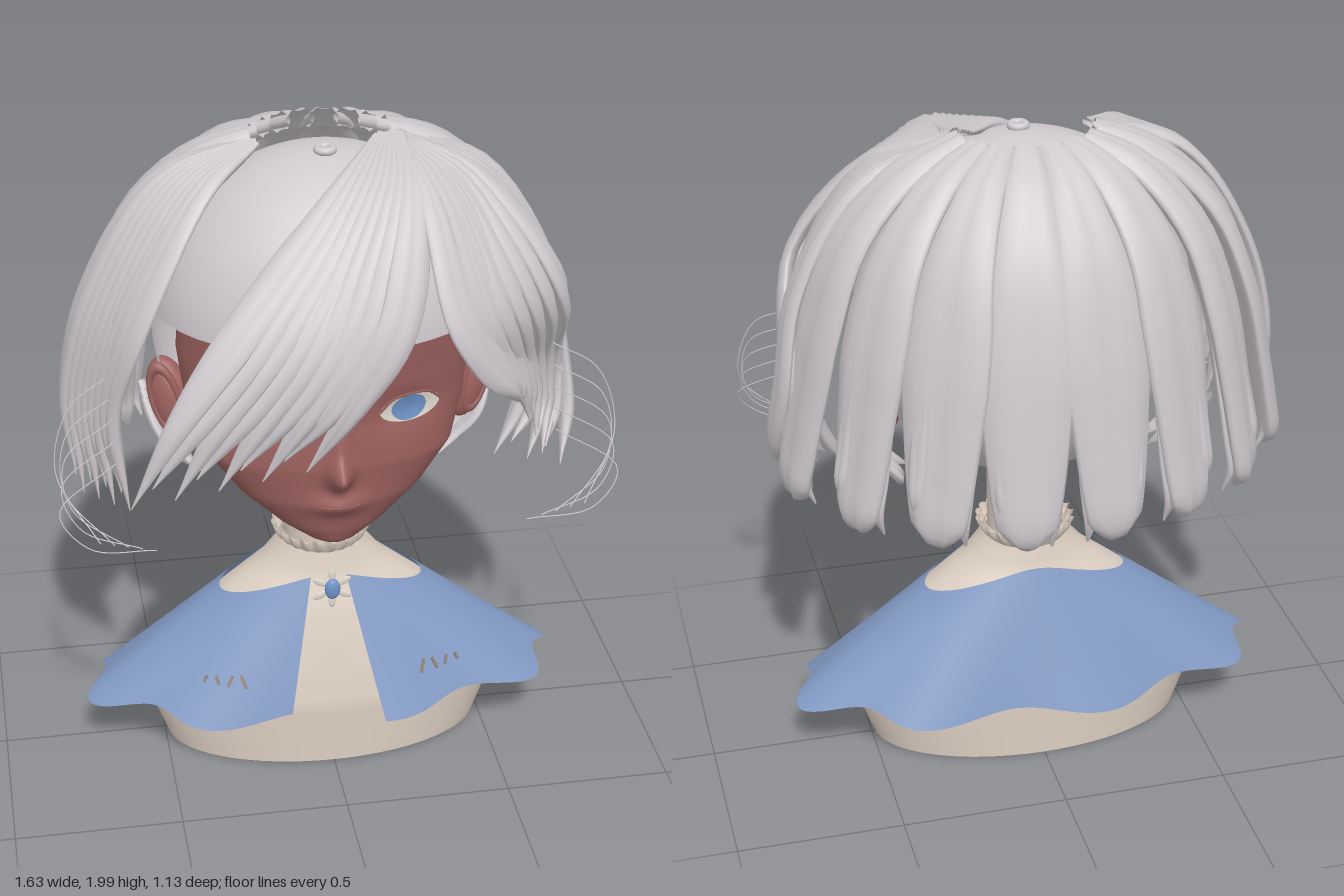
import * as THREE from 'three';

const material = (name, color) => {
  const m = new THREE.MeshStandardMaterial({ color, side: THREE.DoubleSide });
  m.name = name;
  return m;
};
const lerp = THREE.MathUtils.lerp;
const V = (x, y, z) => new THREE.Vector3(x, y, z);

// Grid surface from a rule fn(u, v) -> [x, y, z]; optionally closed around u
function surface(nu, nv, closed, fn) {
  const pos = [], idx = [], cols = closed ? nu : nu + 1;
  for (let j = 0; j <= nv; j++)
    for (let i = 0; i < cols; i++) pos.push(...fn(i / nu, j / nv));
  for (let j = 0; j < nv; j++)
    for (let i = 0; i < nu; i++) {
      const k = (i + 1) % cols, a = j * cols + i, b = j * cols + k, c = a + cols, d = b + cols;
      idx.push(a, b, d, a, d, c);
    }
  const g = new THREE.BufferGeometry();
  g.setAttribute('position', new THREE.Float32BufferAttribute(pos, 3));
  g.setIndex(idx);
  g.computeVertexNormals();
  return g;
}

// Linear lookup in rows [y, a, b, ...]
function sample(rows, y) {
  let i = 0;
  while (i < rows.length - 2 && y > rows[i + 1][0]) i++;
  const t = THREE.MathUtils.clamp((y - rows[i][0]) / (rows[i + 1][0] - rows[i][0]), 0, 1);
  return rows[i].map((v, k) => lerp(v, rows[i + 1][k], t));
}

// Flattened tapering lock of hair along a path
function lockGeometry(points, width, thickness) {
  const curve = new THREE.CatmullRomCurve3(points);
  const centre = V(0, 1.3, 0), steps = 26, rings = [];
  for (let j = 0; j <= steps; j++) {
    const p = curve.getPoint(j / steps), t = curve.getTangent(j / steps);
    const side = t.clone().cross(p.clone().sub(centre)).normalize();
    rings.push({ p, side, out: side.clone().cross(t).normalize() });
  }
  return surface(18, steps, true, (u, v) => {
    const { p, side, out } = rings[Math.round(v * steps)], a = u * Math.PI * 2;
    const w = width(v), h = Math.min(thickness, w * 0.6);
    const s = Math.cos(a) * w, n = Math.sin(a) * h * (1 + 0.2 * Math.cos(6 * a));
    return p.clone().addScaledVector(side, s).addScaledVector(out, n).toArray();
  });
}

// Head sections: y, half width, front z, back z
const headRows = [
  [0.785, 0.02, 0.26, 0.2], [0.8, 0.07, 0.285, 0.15], [0.85, 0.155, 0.305, 0.08],
  [0.95, 0.27, 0.325, 0.02], [1.07, 0.365, 0.335, -0.05], [1.2, 0.412, 0.33, -0.18],
  [1.35, 0.43, 0.34, -0.27], [1.5, 0.42, 0.36, -0.28], [1.62, 0.36, 0.3, -0.25]];
const bump = (x, y, cx, cy, sx, sy) => Math.exp(-(((x - cx) / sx) ** 2) - ((y - cy) / sy) ** 2);
const features = (x, y) =>
  0.07 * bump(x, y, 0, 1.06, 0.035, 0.045) + 0.025 * bump(x, y, 0, 1.13, 0.03, 0.09) +
  0.03 * bump(x, y, 0, 0.95, 0.08, 0.035) -
  0.02 * bump(Math.abs(x), y, 0.2, 1.23, 0.11, 0.06);
function faceZ(x, y) {
  const [, rx, zf, zb] = sample(headRows, y), c = (zf + zb) / 2;
  return c + (zf - c) * Math.sqrt(Math.max(0, 1 - (x / rx) ** 2)) + features(x, y);
}

export function createModel() {
  const model = new THREE.Group();
  const cream = material('cream cloth', 0xdccec1), blue = material('blue cloth', 0x8299c3);
  const skin = material('skin', 0x9a605d), hair = material('silver hair', 0xcfcace);
  const white = material('eye white', 0xe0d8ce), iris = material('iris blue', 0x6f93c6);
  const thread = material('embroidery thread', 0x8f8373);
  const add = (name, geo, mat, parent = model) => {
    const m = new THREE.Mesh(geo, mat);
    m.name = name;
    parent.add(m);
    return m;
  };
  const group = (name) => {
    const g = new THREE.Group();
    g.name = name;
    model.add(g);
    return g;
  };

  // Hollow bust: y, half width, half depth
  const bodyRows = [[0, 0.49, 0.255], [0.2, 0.565, 0.255], [0.3, 0.53, 0.235], [0.4, 0.44, 0.21],
    [0.5, 0.32, 0.18], [0.6, 0.19, 0.14], [0.66, 0.14, 0.125], [0.7, 0.12, 0.115]];
  add('bust', surface(64, 28, true, (u, v) => {
    const y = v * 0.7, [, rx, rz] = sample(bodyRows, y), a = u * Math.PI * 2;
    return [rx * Math.sin(a), y, 0.01 + rz * Math.cos(a)];
  }), cream);
  // Neck tube reaches down inside the bust
  add('neck', new THREE.CylinderGeometry(0.115, 0.115, 0.68, 40, 1, true), cream).position.set(0, 0.54, 0.01);

  // Ruffled collar
  add('collarRuffle', surface(160, 4, true, (u, v) => {
    const a = u * Math.PI * 2, r = 0.125 + 0.02 * Math.sin(v * Math.PI / 2) + 0.008 * Math.sin(22 * a) * v;
    return [r * Math.sin(a), 0.67 + 0.048 * v + 0.006 * v * Math.cos(22 * a), r * Math.cos(a) + 0.005];
  }), cream);

  // Open-fronted cape with wavy hem and straight front edges
  const capePoint = (a, y, lift = 0) => {
    const k = (0.6 - y) / 0.4;
    return [(0.2 + 0.515 * k + lift) * Math.sin(a), y, (0.155 + 0.165 * k + lift) * Math.cos(a) + 0.005];
  };
  add('cape', surface(120, 16, false, (u, v) => {
    const gap = Math.asin(lerp(0.055, 0.14, v) / lerp(0.2, 0.715, v)), a = lerp(gap, Math.PI * 2 - gap, u);
    const top = 0.61 - 0.1 * Math.sin(a) ** 2, hem = 0.195 + 0.02 * Math.cos(8 * a + 1);
    return capePoint(a, lerp(top, hem, v), 0.012 * Math.sin(8 * a) * v * v);
  }), blue);

  // Small embroidered stitches on both cape fronts
  const stitches = group('embroidery');
  for (const s of [-1, 1])
    for (let i = 0; i < 4; i++) {
      const a = s * (0.5 + i * 0.08), p = capePoint(a, 0.31, 0.006);
      const m = add('stitch', new THREE.BoxGeometry(0.008, 0.045 - i * 0.008, 0.006), thread, stitches);
      m.position.set(...p);
      m.rotation.set(-0.5, a * 0.6, s * (i % 2 ? 0.5 : -0.3));
    }

  // Flower brooch
  const brooch = group('brooch');
  brooch.position.set(0, 0.6, 0.225);
  add('broochStone', new THREE.SphereGeometry(1, 24, 16), iris, brooch).scale.set(0.024, 0.034, 0.015);
  for (let i = 0; i < 6; i++) {
    const a = (i + 0.5) * Math.PI / 3;
    const p = add('broochPetal', new THREE.SphereGeometry(1, 12, 8), white, brooch);
    p.scale.set(0.024, 0.011, 0.004);
    p.position.set(Math.cos(a) * 0.042, Math.sin(a) * 0.045, -0.006);
    p.rotation.z = a;
  }

  // Head with nose and lips, sampled more densely toward the front
  add('head', surface(144, 84, true, (u, v) => {
    const y = lerp(0.785, 1.62, v), [, rx, zf, zb] = sample(headRows, y);
    const a = u * Math.PI * 2 - 0.55 * Math.sin(u * Math.PI * 2), c = (zf + zb) / 2;
    const x = rx * Math.sin(a), front = Math.cos(a) > 0;
    return [x, y, c + (zf - c) * Math.cos(a) + (front ? features(x, y) * Math.min(1, 3 * Math.cos(a)) : 0)];
  }), skin);
  const chin = add('chinUnderside', new THREE.SphereGeometry(1, 20, 12), skin);
  chin.scale.set(0.025, 0.006, 0.03);
  chin.position.set(0, 0.787, 0.23);

  // Face plates follow the face surface
  const plate = (name, cx, cy, w, h, lift, mat) => {
    const g = new THREE.RingGeometry(0.001, 1, 36, 6), p = g.attributes.position;
    for (let i = 0; i < p.count; i++) {
      const x = cx + p.getX(i) * w, y = cy + p.getY(i) * h;
      p.setXYZ(i, x, y, faceZ(x, y) + lift);
    }
    g.computeVertexNormals();
    add(name, g, mat);
  };
  const line = (name, pts, r, mat, parent) =>
    add(name, new THREE.TubeGeometry(new THREE.CatmullRomCurve3(pts), 24, r, 5), mat, parent);
  for (const s of [-1, 1]) {
    plate('eyeWhite', s * 0.215, 1.232, 0.094, 0.043, 0.004, white);
    plate('iris', s * 0.21, 1.234, 0.054, 0.041, 0.008, iris);
    line('upperLid', [-1, -0.6, 0, 0.6, 1].map((t) => {
      const x = s * (0.215 + 0.094 * t), y = 1.234 + 0.043 * Math.sqrt(1 - t * t);
      return V(x, y, faceZ(x, y) + 0.004);
    }), 0.004, skin);
    // Ear
    const ear = add('ear', new THREE.SphereGeometry(1, 24, 16), skin);
    ear.scale.set(0.065, 0.13, 0.05);
    ear.position.set(s * 0.445, 1.175, 0);
    ear.rotation.set(-0.15, s * 0.3, -s * 0.25);
    const rim = add('earRim', new THREE.TorusGeometry(0.07, 0.014, 8, 28), skin);
    rim.scale.set(0.6, 1.45, 1);
    rim.position.set(s * 0.465, 1.185, 0.03);
    rim.rotation.set(0, s * 0.4, -s * 0.25);
  }
  line('lip', [-0.06, -0.03, 0, 0.03, 0.06].map((x) => V(x, 0.953 - 0.5 * x * x, faceZ(x, 0.953))), 0.003, skin);

  // Scalp: top dome plus rear shell down to the nape
  const seam = 1.47;
  for (const [name, ry, ...arc] of [['scalpDome', 0.5, 0, Math.PI * 2, 0, seam],
    ['scalpBack', 0.55, Math.PI, Math.PI, seam, Math.PI - seam]]) {
    const s = add(name, new THREE.SphereGeometry(1, 48, 28, ...arc), hair);
    s.scale.set(0.5, ry, 0.42);
    s.position.set(0, 1.45, 0.04);
  }
  const knot = add('crownRing', new THREE.TorusGeometry(0.022, 0.012, 10, 24), hair);
  knot.position.set(0, 1.955, 0.08);
  knot.rotation.x = Math.PI / 2;

  // Back and side locks radiating from the crown: radius factor, height
  const drop = [[0.26, 1.965], [0.5, 1.895], [0.73, 1.73], [0.86, 1.5], [0.92, 1.3], [0.965, 1.1], [0.985, 0.98], [0.95, 0.9]];
  const radial = (phi, bottom) => drop.map(([u, y]) =>
    V(Math.sin(phi) * 0.75 * u, y < 1.3 ? lerp(1.3, bottom, (1.3 - y) / 0.4) : y, -Math.cos(phi) * 0.54 * u));
  const backHair = group('backHair');
  const taper = (v) => (1 - 0.5 * Math.max(0, (v - 0.5) / 0.5)) * (v > 0.86 ? Math.max(0.04, ((1 - v) / 0.14) ** 0.7) : 1);
  const rad = Math.PI / 180;
  for (const s of [-1, 1])
    // Lock centre angle and half angle, measured from the back
    for (const [centre, half, bottom] of [[10, 10, 0.9], [30, 10.5, 0.91], [51, 11, 0.92], [76, 14.5, 0.94]]) {
      const phi = centre * rad, full = half * rad * Math.hypot(0.75 * Math.cos(phi), 0.54 * Math.sin(phi));
      const w = (v) => full * (0.34 + 0.7 * Math.min(1, v / 0.4)) * taper(v);
      add('backLock', lockGeometry(radial(s * phi, bottom), w, 0.032), hair, backHair);
      for (const d of [-0.1, 0.09])
        add('backTip', lockGeometry(radial(s * (phi + d), bottom + 0.05 + d * 0.4).slice(2),
          (v) => 0.032 * Math.sin(Math.PI * Math.min(1, 0.12 + v * 0.86)) + 0.002, 0.016), hair, backHair);
    }

  // Swept front locks, interpolated between two guide paths
  const sweep = (name, n, from, to, size, thick = 0.02) => {
    const g = group(name);
    for (let i = 0; i < n; i++) {
      const t = i / (n - 1), pts = from.map((p, k) => V(...p).lerp(V(...to[k]), t));
      pts.at(-1).y += 0.05 * (i % 2);
      add('lock', lockGeometry(pts, (v) => size * (0.25 + 0.75 * Math.min(1, v / 0.4)) *
        (v > 0.55 ? Math.max(0.03, 1 - ((v - 0.55) / 0.45) ** 1.4) : 1), thick), hair, g);
    }
  };
  sweep('sweptFringe', 9,
    [[0.16, 1.965, 0.03], [0.02, 1.89, 0.25], [-0.26, 1.62, 0.44], [-0.46, 1.36, 0.49], [-0.61, 1.07, 0.46]],
    [[0.22, 1.975, 0.04], [0.2, 1.88, 0.34], [0.13, 1.61, 0.52], [0.01, 1.39, 0.54], [-0.12, 1.16, 0.49]], 0.06);
  sweep('leftFringe', 8,
    [[0.2, 1.975, 0.03], [0.25, 1.88, 0.33], [0.31, 1.6, 0.5], [0.41, 1.43, 0.47], [0.48, 1.34, 0.42], [0.53, 1.25, 0.35]],
    [[0.22, 1.965, 0.01], [0.44, 1.86, 0.13], [0.65, 1.57, 0.22], [0.71, 1.27, 0], [0.71, 1.07, 0.01], [0.66, 0.94, 0.15]], 0.062);
  sweep('rightSideLocks', 8,
    [[-0.19, 1.965, 0.03], [-0.37, 1.88, 0.18], [-0.56, 1.58, 0.29], [-0.64, 1.27, 0.24], [-0.6, 0.95, 0.26]],
    [[-0.2, 1.965, 0], [-0.47, 1.87, 0.03], [-0.67, 1.57, 0.04], [-0.75, 1.25, 0.03], [-0.74, 0.92, 0.06]], 0.07);
  sweep('leftSideLocks', 5,
    [[0.22, 1.96, 0.02], [0.46, 1.85, 0.09], [0.63, 1.55, 0.12], [0.66, 1.27, -0.01], [0.6, 1.05, 0.02], [0.52, 0.94, 0.08]],
    [[0.21, 1.96, 0], [0.48, 1.85, 0.0], [0.67, 1.55, 0.0], [0.73, 1.27, -0.04], [0.75, 1.05, 0.03], [0.71, 0.92, 0.14]], 0.065);

  // Curled ends and fine flyaway strands on both sides
  const wisps = group('wisps');
  for (const s of [-1, 1]) {
    for (let i = 0; i < 3; i++)
      add('curl', lockGeometry([V(s * 0.52, 1.15, -0.05 - 0.06 * i), V(s * 0.48, 1.05, -0.06 * i),
        V(s * 0.42, 0.98, -0.06 * i), V(s * (0.36 + 0.02 * i), 0.93, 0.03 - 0.06 * i)],
      (v) => 0.032 * Math.sin(Math.PI * Math.min(1, 0.15 + v * 0.84)) + 0.002, 0.014), hair, wisps);
    for (let i = 0; i < 5; i++)
      line('flyaway', [V(s * 0.64, 1.38 - 0.06 * i, 0.24 + 0.02 * i), V(s * (0.76 + 0.012 * i), 1.32 - 0.07 * i, 0.3 + 0.025 * i),
        V(s * (0.81 - 0.02 * i), 1.14 - 0.05 * i, 0.34 + 0.025 * i), V(s * (0.7 - 0.04 * i), 0.96 - 0.015 * i, 0.45 - 0.01 * i)],
      0.0018, hair, wisps);
  }
  return model;
}
